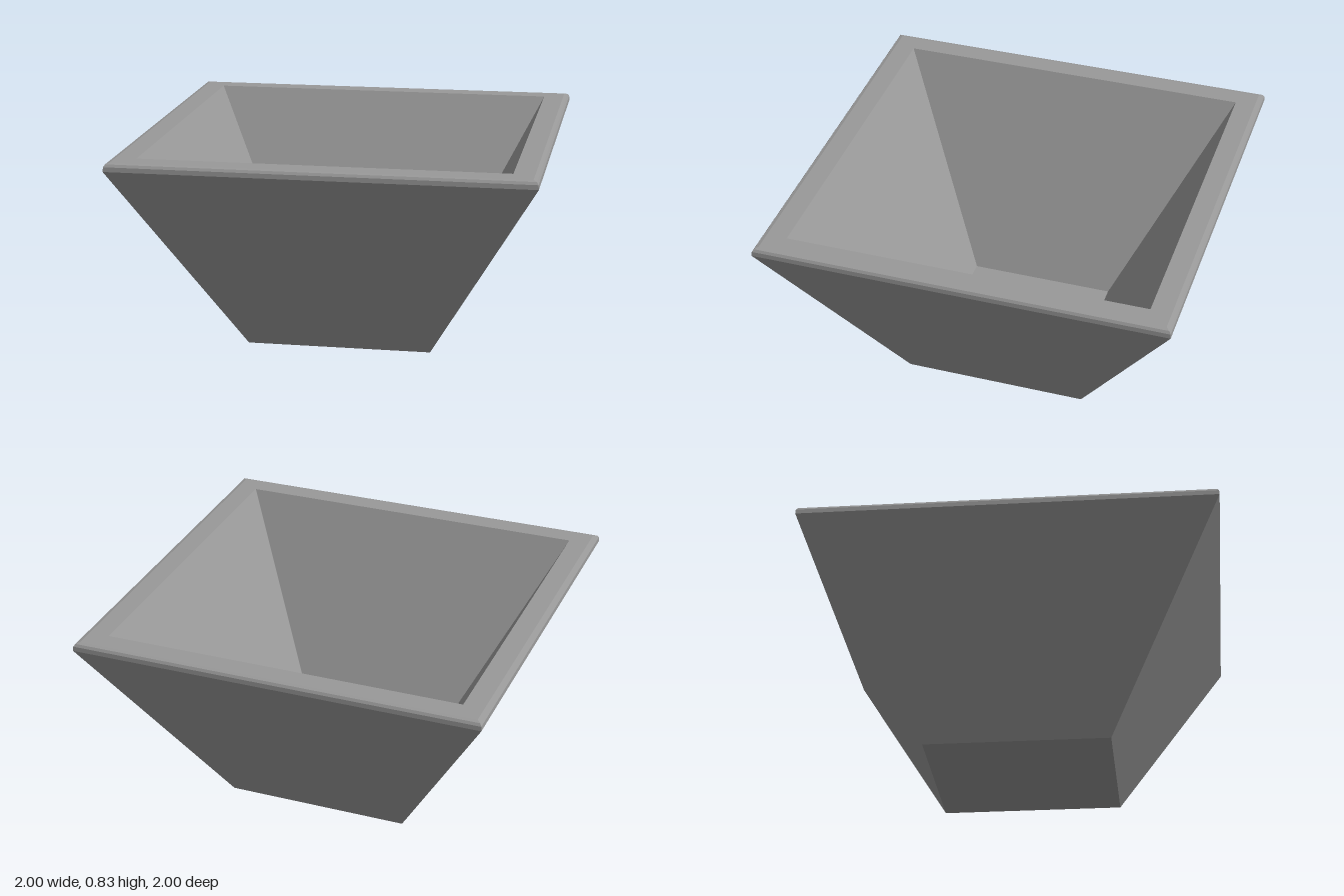
import * as THREE from 'three';

// Corner direction of the square plan, turned about the vertical axis
const TURN = Math.atan2(1, 0.59);

// Four-sided lathe with crisp facets; points run radius, height
function squareLathe(name, profile, material) {
  const points = profile.map(([r, y]) => new THREE.Vector2(r, y));
  const geometry = new THREE.LatheGeometry(points, 4, TURN).toNonIndexed();
  geometry.computeVertexNormals();
  const mesh = new THREE.Mesh(geometry, material);
  mesh.name = name;
  return mesh;
}

export function createModel() {
  const model = new THREE.Group();
  model.name = 'squareBowl';
  const grey = new THREE.MeshStandardMaterial({ color: 0x999999 });
  grey.name = 'grey';

  model.add(
    // Base and sloping outer walls
    squareLathe('outerWalls', [[0, 0], [0.522, 0], [1.161, 0.8]], grey),
    // Narrow bevelled lip with a flat top
    squareLathe('rim', [[1.161, 0.8], [1.159, 0.818], [1.15, 0.828], [1.13, 0.832], [1.015, 0.832]], grey),
    // Sloping inner walls and floor
    squareLathe('innerWalls', [[1.015, 0.832], [0.423, 0.035], [0, 0.035]], grey),
  );
  return model;
}
